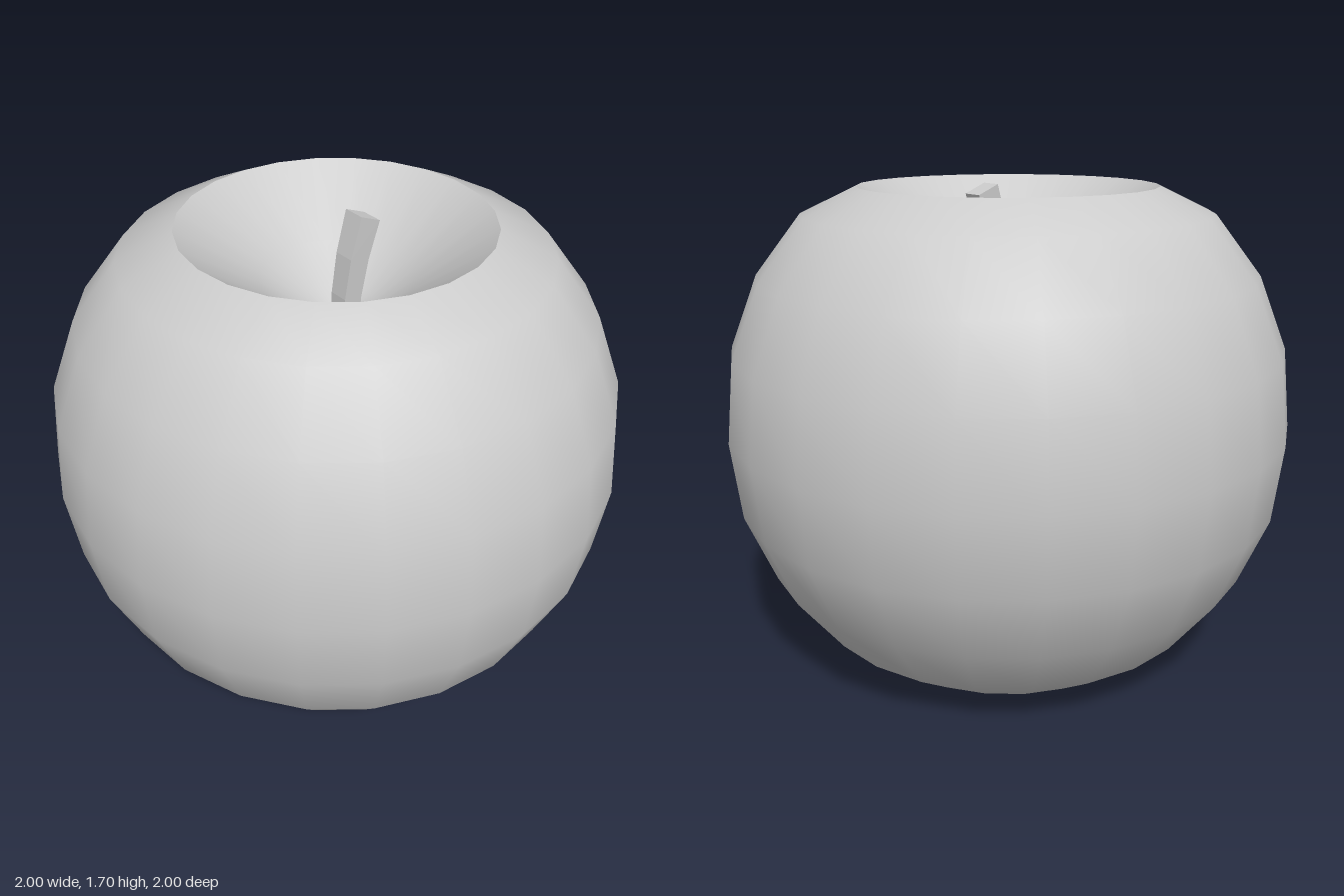
import * as THREE from 'three';

const material = new THREE.MeshStandardMaterial({ color: 0xcccccc });
const SEGMENTS = 24;

// One smooth surface of revolution; separate pieces keep the rims sharp
function turned(name, profile) {
  const points = profile.map(([r, y]) => new THREE.Vector2(r, y));
  const mesh = new THREE.Mesh(new THREE.LatheGeometry(points, SEGMENTS), material);
  mesh.name = name;
  return mesh;
}

// Square stalk, bent backwards and slightly wider towards the tip
function createStem() {
  const height = 0.42, base = 1.28;
  const geometry = new THREE.BoxGeometry(0.08, height, 0.08, 1, 3, 1);
  const pos = geometry.attributes.position;
  for (let i = 0; i < pos.count; i++) {
    const t = pos.getY(i) / height + 0.5;
    const tilt = 0.4 * t;
    const across = pos.getZ(i) * (0.8 + 0.25 * t);
    pos.setXYZ(
      i,
      pos.getX(i) * (0.85 + 0.15 * t),
      base + (height - 0.015) * t + across * Math.sin(tilt),
      -0.035 - 0.075 * t * t + across * Math.cos(tilt)
    );
  }
  const flat = geometry.toNonIndexed();
  flat.computeVertexNormals();
  const stem = new THREE.Mesh(flat, material);
  stem.name = 'stem';
  return stem;
}

export function createModel() {
  const group = new THREE.Group();
  group.name = 'apple';

  // Round body between the two rims
  group.add(turned('body', [
    [0.52, 0.02], [0.71, 0.15], [0.87, 0.36], [0.97, 0.605], [1, 0.875],
    [0.97, 1.15], [0.87, 1.4], [0.71, 1.605], [0.52, 1.695],
  ]));

  // Hollow around the stem
  group.add(turned('topHollow', [[0.52, 1.695], [0.26, 1.5], [0.13, 1.4], [0, 1.34]]));

  // Nearly flat underside
  group.add(turned('base', [[0, 0.015], [0.26, 0.01], [0.42, 0], [0.52, 0.02]]));

  group.add(createStem());
  return group;
}
